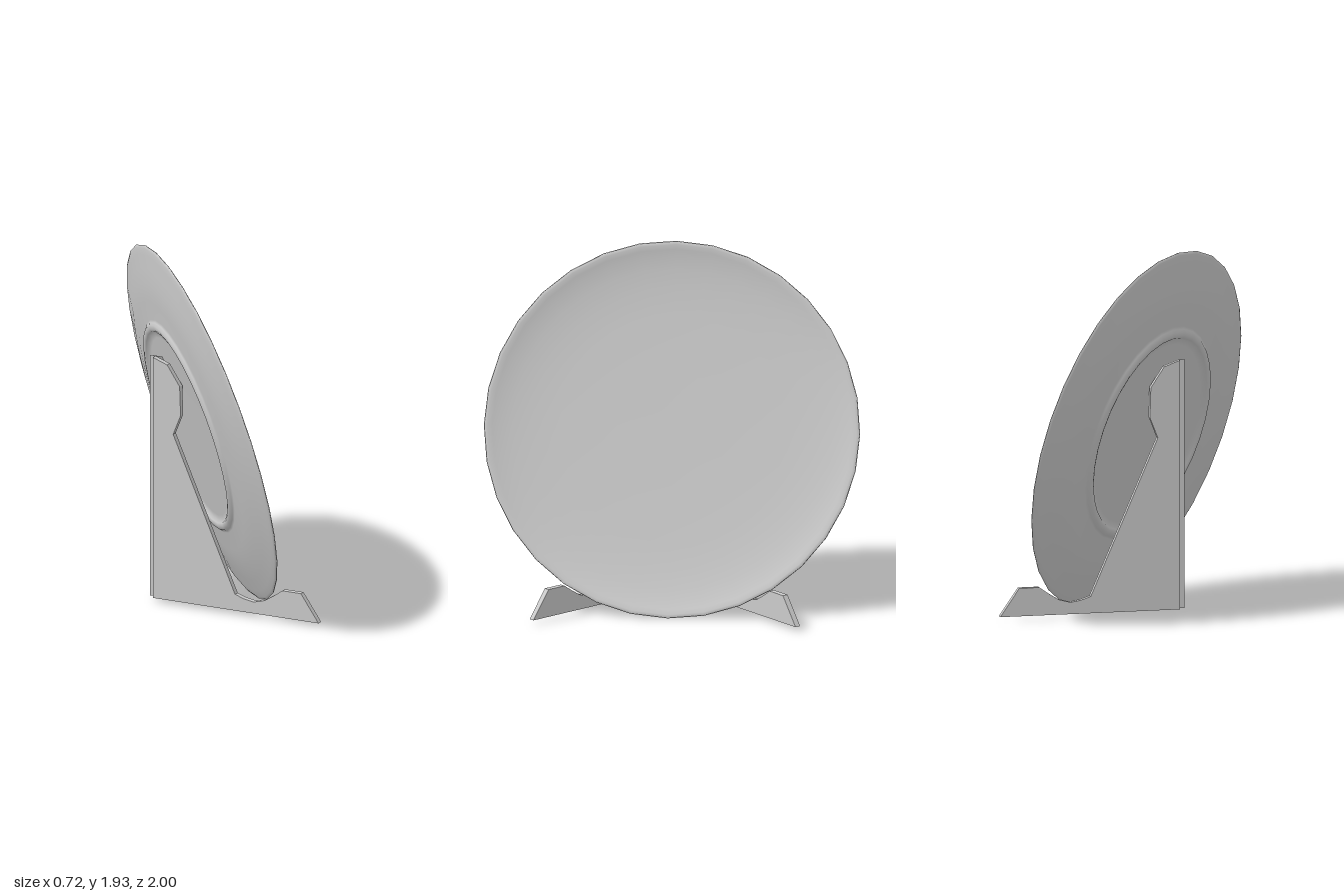
import * as THREE from 'three';

const material = new THREE.MeshStandardMaterial({ color: 0xcccccc });

// Shallow round plate: profile runs from the back centre, over the foot ring and rim, to the front centre
function createPlate() {
  const profile = [
    [0, -0.075], [0.5, -0.075], [0.53, -0.077], [0.54, -0.09], [0.555, -0.095],
    [0.575, -0.092], [0.587, -0.08], [0.6, -0.073], [0.7, -0.067], [0.8, -0.052],
    [0.88, -0.034], [0.95, -0.018], [0.985, -0.01], [0.999, -0.003], [0.995, 0.003],
    [0.98, 0.003], [0.955, -0.003], [0.92, -0.014], [0.85, -0.027], [0.75, -0.039],
    [0.6, -0.049], [0.3, -0.055], [0, -0.056],
  ].map(([r, y]) => new THREE.Vector2(r, y));
  const plate = new THREE.Mesh(new THREE.LatheGeometry(profile, 32), material);
  plate.name = 'plate';
  plate.rotation.z = -THREE.MathUtils.degToRad(75);
  plate.position.set(-0.08, 0.968, 0);
  return plate;
}

// One flat stand panel with a tall back support and a notch for the rim
function createPanel(side) {
  const backX = -0.352, thickness = 0.031;
  const outline = [
    [backX, 0.025], [0.342, 0.025], [0.268, 0.175], [0.19, 0.175],
    [0.155, 0.14], [0.115, 0.105], [0.07, 0.088], [0.03, 0.097], [-0.008, 0.115],
    [-0.267, 0.95], [-0.236, 1.06], [-0.24, 1.22], [-0.292, 1.33], [backX, 1.36],
  ].map(([x, y]) => new THREE.Vector2((x - backX) * Math.SQRT2, y));
  const geometry = new THREE.ExtrudeGeometry(new THREE.Shape(outline), {
    depth: thickness, bevelEnabled: false,
  });
  geometry.translate(0, 0, -thickness / 2);
  const panel = new THREE.Mesh(geometry, material);
  panel.name = side > 0 ? 'rightStandPanel' : 'leftStandPanel';
  panel.name = side > 0 ? 'frontStandPanel' : 'backStandPanel';
  panel.rotation.y = -side * Math.PI / 4;
  panel.position.set(backX, 0, side * 0.013);
  return panel;
}

export function createModel() {
  const model = new THREE.Group();
  model.name = 'plateOnStand';

  // Two panels meet at the back and open out at a right angle
  const stand = new THREE.Group();
  stand.name = 'stand';
  for (const side of [1, -1]) stand.add(createPanel(side));

  model.add(createPlate(), stand);
  return model;
}
